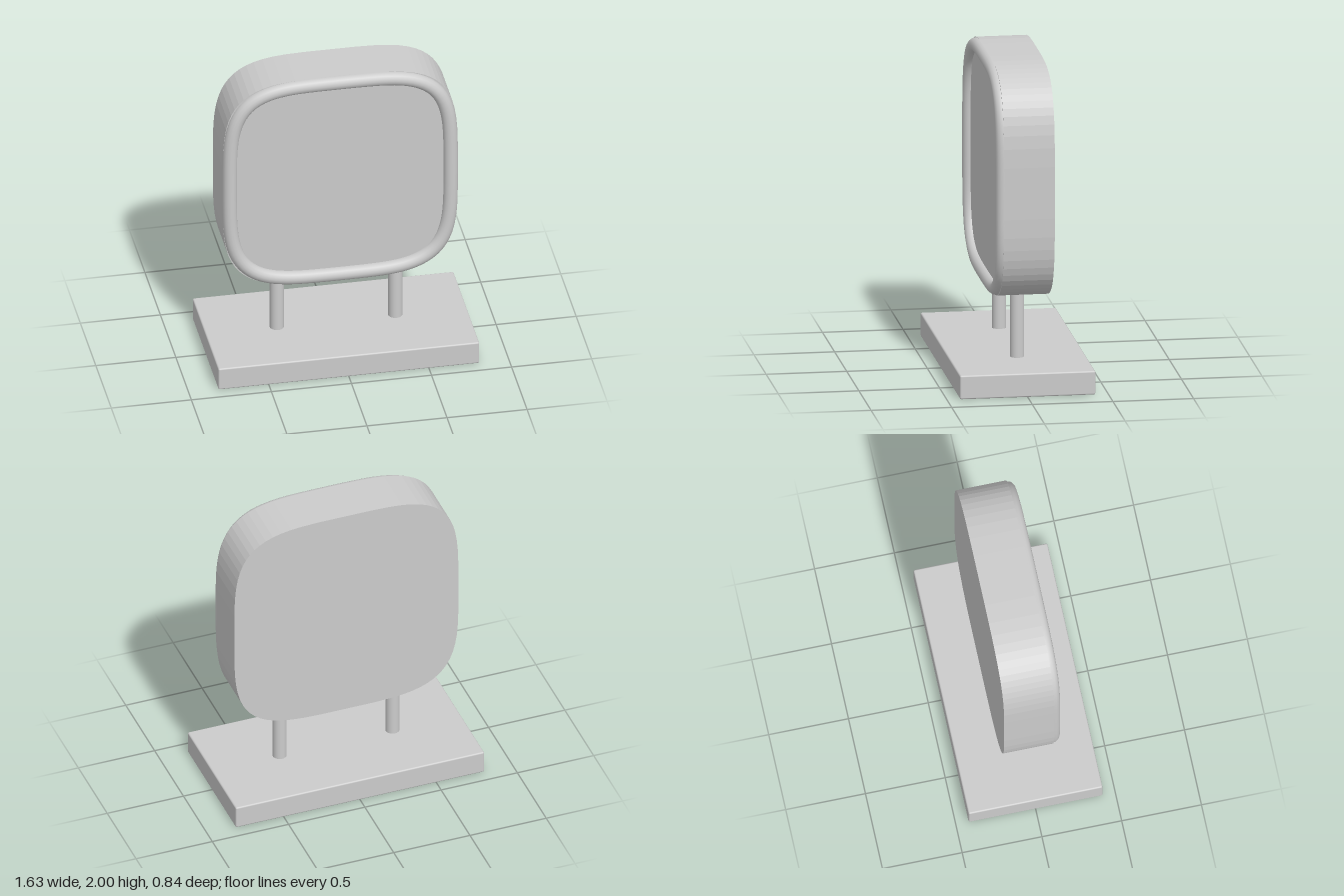
import * as THREE from 'three';
import { RoundedBoxGeometry } from 'three/addons/geometries/RoundedBoxGeometry.js';

const grey = new THREE.MeshStandardMaterial({ color: 0xcccccc });

// Points of a rounded square (fourth-power superellipse) of the given half width
function squirclePoints(half, count) {
  const soften = (v) => Math.sign(v) * Math.sqrt(Math.abs(v));
  return Array.from({ length: count }, (_, i) => {
    const a = ((i + 0.5) / count) * Math.PI * 2;
    return new THREE.Vector2(half * soften(Math.cos(a)), half * soften(Math.sin(a)));
  });
}

export function createModel() {
  const group = new THREE.Group();
  const add = (name, geometry, x, y, z) => {
    const mesh = new THREE.Mesh(geometry, grey);
    mesh.name = name;
    mesh.position.set(x, y, z);
    group.add(mesh);
  };

  const headY = 1.265, headHalf = 0.735, rimRadius = 0.045;
  const headBack = -0.18, headFront = 0.135;

  // Base slab with slightly softened edges
  add('base', new RoundedBoxGeometry(1.63, 0.15, 0.84, 2, 0.01), 0, 0.075, 0);

  // Two posts reaching up into the head
  for (const [name, x] of [['leftPost', 0.37], ['rightPost', -0.37]]) {
    add(name, new THREE.CylinderGeometry(0.044, 0.044, 0.43, 24), x, 0.355, 0);
  }

  // Head: thick rounded-square block
  const outline = new THREE.Shape(squirclePoints(headHalf, 64));
  const head = new THREE.ExtrudeGeometry(outline, { depth: headFront - headBack, bevelEnabled: false });
  add('head', head, 0, headY, headBack);

  // Round rim bordering the front face
  const path = new THREE.CatmullRomCurve3(
    squirclePoints(headHalf - rimRadius, 64).map((p) => new THREE.Vector3(p.x, p.y, 0)), true);
  add('frontRim', new THREE.TubeGeometry(path, 128, rimRadius, 16, true), 0, headY, headFront);

  return group;
}
